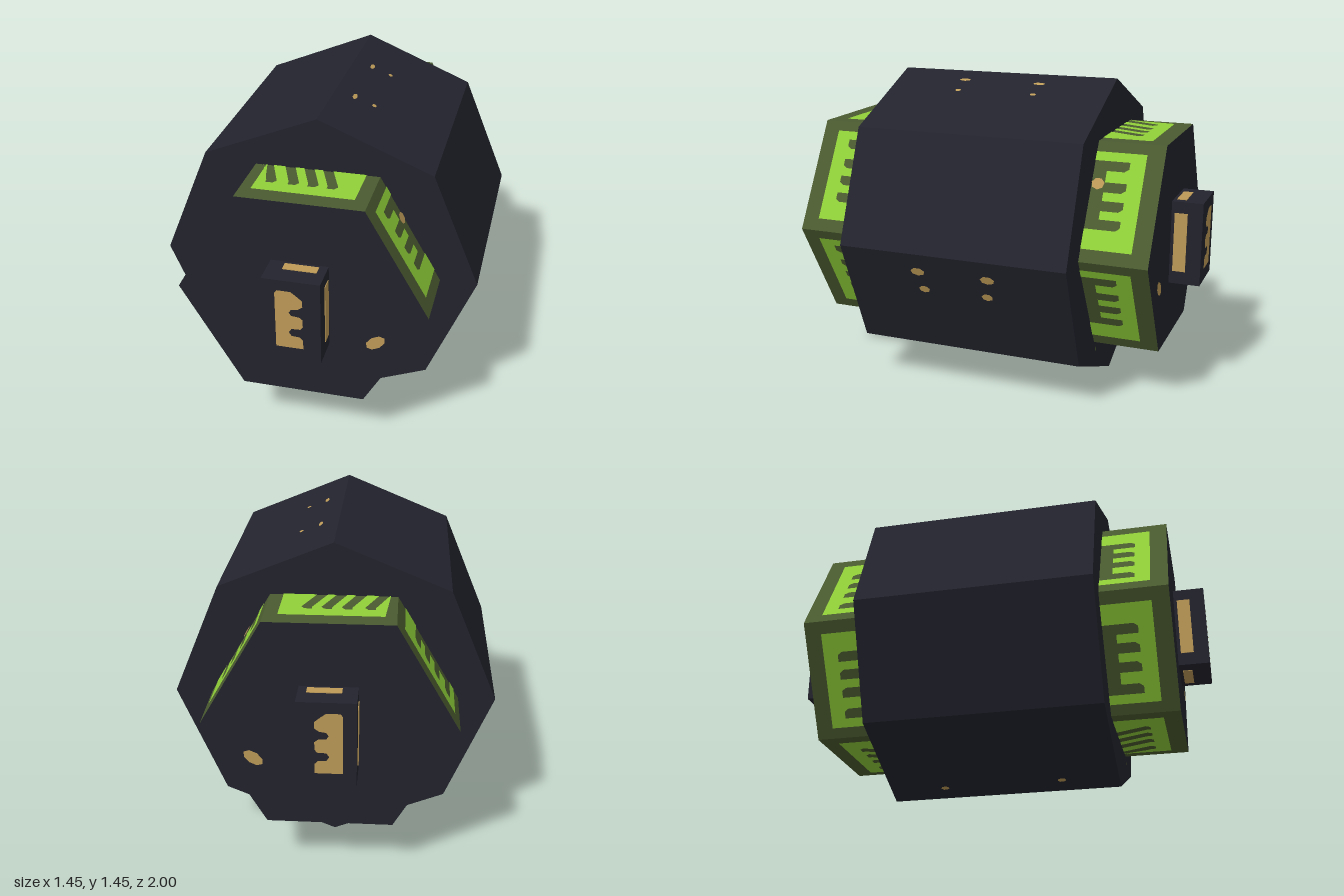
import * as THREE from 'three';

const paint = (name, color) => {
  const m = new THREE.MeshStandardMaterial({ color, flatShading: true });
  m.name = name;
  return m;
};

const CY = 0.727;      // height of the long axis
const LIFT = 0.003;    // how far painted plates sit above a face

export function createModel() {
  const navy = paint('navy', 0x22232d);
  const olive = paint('olive', 0x4b5b30);
  const lime = paint('lime', 0x90d038);
  const tan = paint('tan', 0xbd9a57);

  const model = new THREE.Group();
  const axis = new THREE.Group();
  axis.name = 'barrel';
  axis.position.y = CY;
  model.add(axis);

  const add = (parent, name, geometry, material) => {
    const mesh = new THREE.Mesh(geometry, material);
    mesh.name = name;
    parent.add(mesh);
    return mesh;
  };

  // Flat outline lying in the xz plane and facing +y; points are [x, z]
  const flat = (points, mirror = 1) => {
    const shape = new THREE.Shape(points.map(([x, z]) => new THREE.Vector2(x, -z * mirror)));
    return new THREE.ShapeGeometry(shape).rotateX(-Math.PI / 2);
  };
  // Irregular painted fleck facing +y
  const fleck = (u, z, w, d) => new THREE.CircleGeometry(0.5, 7)
    .rotateX(-Math.PI / 2).scale(w, 1, d).translate(u, 0, z);
  // Group whose xz plane lies on a side face of a prism
  const faceGroup = (name, degrees, apothem) => {
    const spin = new THREE.Group();
    spin.name = name;
    spin.rotation.z = THREE.MathUtils.degToRad(degrees);
    const face = new THREE.Group();
    face.position.y = apothem + LIFT;
    spin.add(face);
    axis.add(spin);
    return face;
  };

  // Main octagonal drum, hexagonal core and square shaft
  add(axis, 'drum', new THREE.CylinderGeometry(CY, CY, 1.09, 8).rotateX(Math.PI / 2), navy);
  add(axis, 'core', new THREE.CylinderGeometry(0.56, 0.56, 1.71, 6)
    .rotateY(Math.PI / 6).rotateX(Math.PI / 2), [olive, navy, navy]);
  add(axis, 'shaft', new THREE.BoxGeometry(0.254, 0.395, 2), navy);

  // Comb-shaped lime panel: rim on the outside, teeth pointing inwards
  const comb = (slant, depth) => {
    const pts = [[-0.23, 0.53], [-0.23, 0.775], [0.22, 0.775], [0.22, 0.53]];
    const root = 0.705;
    [[0.105, 0.53], [0.02, depth], [-0.066, depth], [-0.165, depth]].forEach(([u, z], i) => {
      const lean = (root - z) * slant;
      const half = 0.023;
      pts.push([u + half + lean, z], [u + half, root - 0.02], [u + half * 0.4, root],
        [u - half, root]);
      const next = i === 3 ? 0.53 : depth;
      pts.push([u - half, root - 0.02], [u - half + (root - next) * slant, next]);
    });
    return pts;
  };
  for (let k = 0; k < 6; k++) {
    const face = faceGroup('corePanel', -60 * k, 0.485);
    const pattern = k % 3 === 0 ? comb(-0.35, 0.53) : comb(0, 0.605);
    for (const s of [1, -1]) {
      add(face, 'limePanel', flat(pattern, s), lime);
      if (k === 1) add(face, 'tanFleck', fleck(-0.08, 0.575 * s, 0.055, 0.06), tan).position.y = LIFT;
    }
  }

  // Flecks on the drum: face angle, then [u, z, width, depth]
  const drumFlecks = {
    '-22.5': [[-0.186, 0.19, 0.022, 0.06], [-0.089, 0.19, 0.022, 0.03]],
    '-112.5': [[-0.18, 0.17, 0.045, 0.07], [-0.078, 0.155, 0.04, 0.055]],
    '-157.5': [[-0.16, 0.22, 0.05, 0.06]],
    '-202.5': [[-0.2, 0.28, 0.025, 0.04]],
  };
  for (const [angle, list] of Object.entries(drumFlecks)) {
    const face = faceGroup('drumFlecks', Number(angle), CY * Math.cos(Math.PI / 8));
    for (const [u, z, w, d] of list) {
      for (const s of [1, -1]) add(face, 'drumFleck', fleck(u, z * s, w, d), tan);
    }
  }

  // Notched emblem-free inlay on the shaft ends
  const inlay = new THREE.Shape([
    [-0.07, 0.59], [0.05, 0.59], [0.05, 0.635], [0.035, 0.65], [0, 0.652], [-0.012, 0.67],
    [0, 0.688], [0.04, 0.69], [0.05, 0.705], [0.05, 0.74], [0.035, 0.752], [0, 0.755],
    [-0.01, 0.77], [0, 0.785], [0.03, 0.79], [0.05, 0.805], [0.05, 0.835], [0.02, 0.86],
    [0, 0.875], [-0.06, 0.875], [-0.07, 0.86],
  ].map(([x, y]) => new THREE.Vector2(x, y - CY)));

  for (const s of [1, -1]) {
    const end = new THREE.Group();
    end.name = s > 0 ? 'frontEnd' : 'backEnd';
    axis.add(end);
    // Plates facing outwards along z; the back one is mirrored in z
    const endPlate = (name, geometry, material, z) => {
      if (s < 0) {
        // Turning a mirrored outline keeps its x positions and flips its facing
        geometry.scale(1, 1, -1);
        const idx = geometry.index.array;
        for (let i = 0; i < idx.length; i += 3) [idx[i], idx[i + 1]] = [idx[i + 1], idx[i]];
        geometry.computeVertexNormals();
      }
      add(end, name, geometry, material).position.z = s * z;
    };
    endPlate('endInlay', new THREE.ShapeGeometry(inlay), tan, 0.997 + 2 * LIFT - 0.001);
    endPlate('coreFleck', new THREE.CircleGeometry(0.5, 8).scale(0.1, 0.058, 1)
      .rotateZ(0.65).translate(0.333, 0.567 - CY, 0), tan, 0.855 + LIFT);
    endPlate('drumEndFleck', new THREE.CircleGeometry(0.012, 5)
      .translate(0.26, 0.2 - CY, 0), olive, 0.545 + LIFT);

    // Strips on the four sides of the shaft
    for (const m of [1, -1]) {
      add(end, 'sideInlay', new THREE.BoxGeometry(0.006, 0.28, 0.06), tan)
        .position.set(m * 0.127, 0.73 - CY, s * 0.9);
      add(end, m > 0 ? 'topInlay' : 'bottomInlay', new THREE.BoxGeometry(0.15, 0.006, 0.045), tan)
        .position.set(0.015, m * 0.1975, s * 0.893);
    }
  }
  return model;
}
